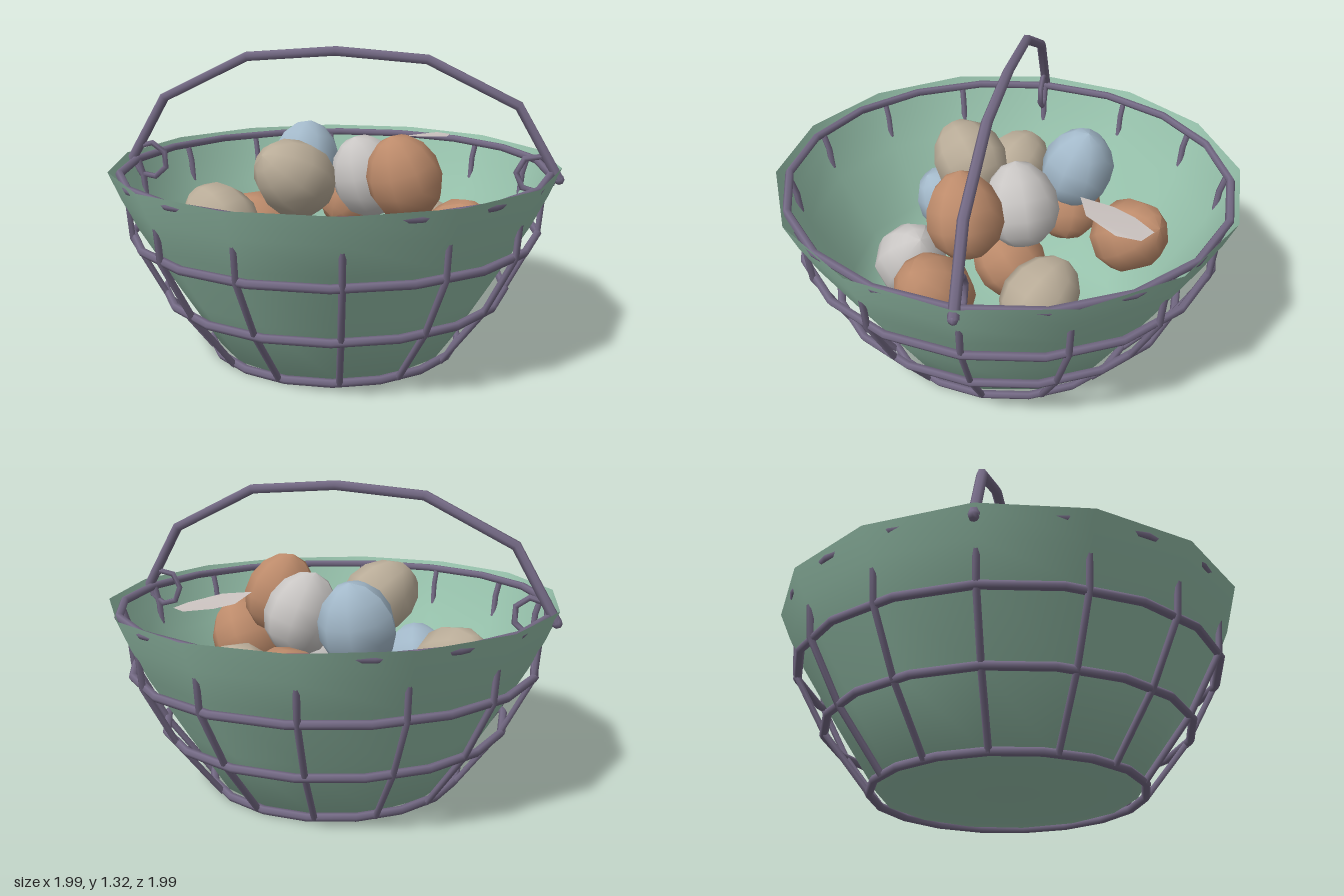
import * as THREE from 'three';

const mat = (name, color) => Object.assign(new THREE.MeshStandardMaterial({ color }), { name });
const V = (x, y, z) => new THREE.Vector3(x, y, z);

// Straight-segment path whose corners fall exactly on the tube's rings
class Polyline extends THREE.Curve {
  constructor(points) { super(); this.points = points; }
  getPoint(t, target = new THREE.Vector3()) {
    const n = this.points.length - 1;
    const i = Math.min(Math.floor(t * n + 1e-9), n - 1);
    return target.lerpVectors(this.points[i], this.points[i + 1], t * n - i);
  }
  getPointAt(u, target) { return this.getPoint(u, target); }
  getTangentAt(u, target) { return this.getTangent(u, target); }
}

export function createModel() {
  const wire = mat('wire', 0x746a85);
  const cloth = mat('liner', 0x97c2ac);
  cloth.side = THREE.DoubleSide;
  const brown = mat('brownShell', 0xbd8b6b);
  const beige = mat('beigeShell', 0xb9ac98);
  const blue = mat('blueShell', 0xa3b9ca);
  const white = mat('whiteShell', 0xc9c6c4);
  const quill = mat('feather', 0xcbc3c0);
  quill.side = THREE.DoubleSide;

  const model = new THREE.Group();
  const add = (name, geometry, material, parent = model) => {
    const mesh = new THREE.Mesh(geometry, material);
    mesh.name = name;
    parent.add(mesh);
    return mesh;
  };
  const wireTube = (points, r) => new THREE.TubeGeometry(new Polyline(points), points.length - 1, r, 6);

  // The basket is slightly longer front to back
  const basket = new THREE.Group();
  basket.name = 'basket';
  basket.scale.z = 1.04;
  model.add(basket);

  // Fourteen-sided cloth bowl, vertices on the x axis
  const profile = [[0, 0.025], [0.53, 0.025], [0.7, 0.3], [0.86, 0.57], [0.93, 0.71], [0.98, 0.83]];
  const bowl = new THREE.LatheGeometry(profile.map(([r, y]) => new THREE.Vector2(r, y)), 14, Math.PI / 2);
  add('liner', bowl, cloth, basket);

  // Wire hoops
  const hoops = [[0.56, 0.025], [0.76, 0.28], [0.89, 0.54], [0.935, 0.8]];
  for (const [r, y] of hoops) {
    const hoop = add('hoop', new THREE.TorusGeometry(r, 0.018, 6, 18), wire, basket);
    hoop.rotation.x = Math.PI / 2;
    hoop.position.y = y;
  }

  // Upright ribs, passing through the liner near the rim
  const rib = wireTube([V(0.56, 0.02, 0), V(0.755, 0.28, 0), V(0.89, 0.54, 0), V(0.905, 0.72, 0), V(0.93, 0.8, 0)], 0.014);
  for (let i = 0; i < 14; i++) {
    add('rib', rib, wire, basket).rotation.y = (i / 14) * Math.PI * 2;
  }

  // Carrying handle with closed ends and a loop on each side
  const arc = [[-0.97, 0.78], [-0.79, 1.09], [-0.4, 1.28], [0, 1.31], [0.4, 1.28], [0.79, 1.09], [0.97, 0.78]];
  add('handle', wireTube(arc.map(([x, y]) => V(x, y, 0)), 0.023), wire);
  for (const s of [-1, 1]) {
    add('handleTip', new THREE.SphereGeometry(0.023, 6, 4), wire).position.set(s * 0.97, 0.78, 0);
    const loop = add('handleLoop', new THREE.TorusGeometry(0.08, 0.014, 5, 7), wire);
    loop.position.set(s * 0.87, 0.8, 0);
    loop.rotation.z = 0.4 * s;
  }

  // Eggs: a low sphere, narrower toward its upper end
  const egg = new THREE.SphereGeometry(1, 9, 7);
  const p = egg.attributes.position;
  for (let i = 0; i < p.count; i++) {
    const y = p.getY(i), k = 1 - 0.08 * y;
    p.setXYZ(i, p.getX(i) * k * 0.165, y * 0.19, p.getZ(i) * k * 0.165);
  }
  egg.computeVertexNormals();
  // Each: shell, position, direction of the narrow end
  const eggs = [
    [brown, [-0.01, 0.56, -0.55], [0.4, 0.5, -0.6]],
    [brown, [-0.40, 0.45, -0.21], [-0.6, 0.5, 0.1]],
    [blue, [-0.20, 0.77, -0.28], [0.1, 1, -0.25]],
    [brown, [0.00, 0.36, 0.00], [-0.2, 0.6, 0.5]],
    [white, [0.13, 0.75, -0.08], [-0.3, 1, 0.2]],
    [beige, [0.38, 0.46, -0.22], [-0.6, 0.6, -0.5]],
    [beige, [-0.52, 0.55, 0.07], [-0.7, 0.5, -0.4]],
    [beige, [-0.14, 0.79, 0.21], [-0.5, 0.5, 0.5]],
    [blue, [-0.28, 0.46, 0.34], [0.2, 0.7, 0.5]],
    [brown, [0.32, 0.79, 0.12], [-0.3, 1, 0.15]],
    [brown, [0.55, 0.55, 0.20], [0.4, 0.7, 0.3]],
    [white, [0.18, 0.42, 0.41], [0.3, 0.7, -0.3]],
  ];
  for (const [shell, pos, dir] of eggs) {
    const mesh = add('egg', egg, shell);
    mesh.position.set(...pos);
    mesh.quaternion.setFromUnitVectors(V(0, 1, 0), V(...dir).normalize());
  }

  // Loose feather, a thin leaf curling upward at its near end
  const outline = [[0.24, -0.35], [0.25, -0.49], [0.30, -0.58], [0.39, -0.665], [0.46, -0.62], [0.45, -0.52], [0.36, -0.39]];
  const leaf = new THREE.ShapeGeometry(new THREE.Shape(outline.map(([x, z]) => new THREE.Vector2(x, -z))));
  leaf.rotateX(-Math.PI / 2);
  const q = leaf.attributes.position;
  for (let i = 0; i < q.count; i++) {
    const t = Math.max(0, (q.getZ(i) + 0.6) / 0.25);
    q.setY(i, 0.86 + 0.03 * t * t);
  }
  leaf.computeVertexNormals();
  add('feather', leaf, quill);

  return model;
}
